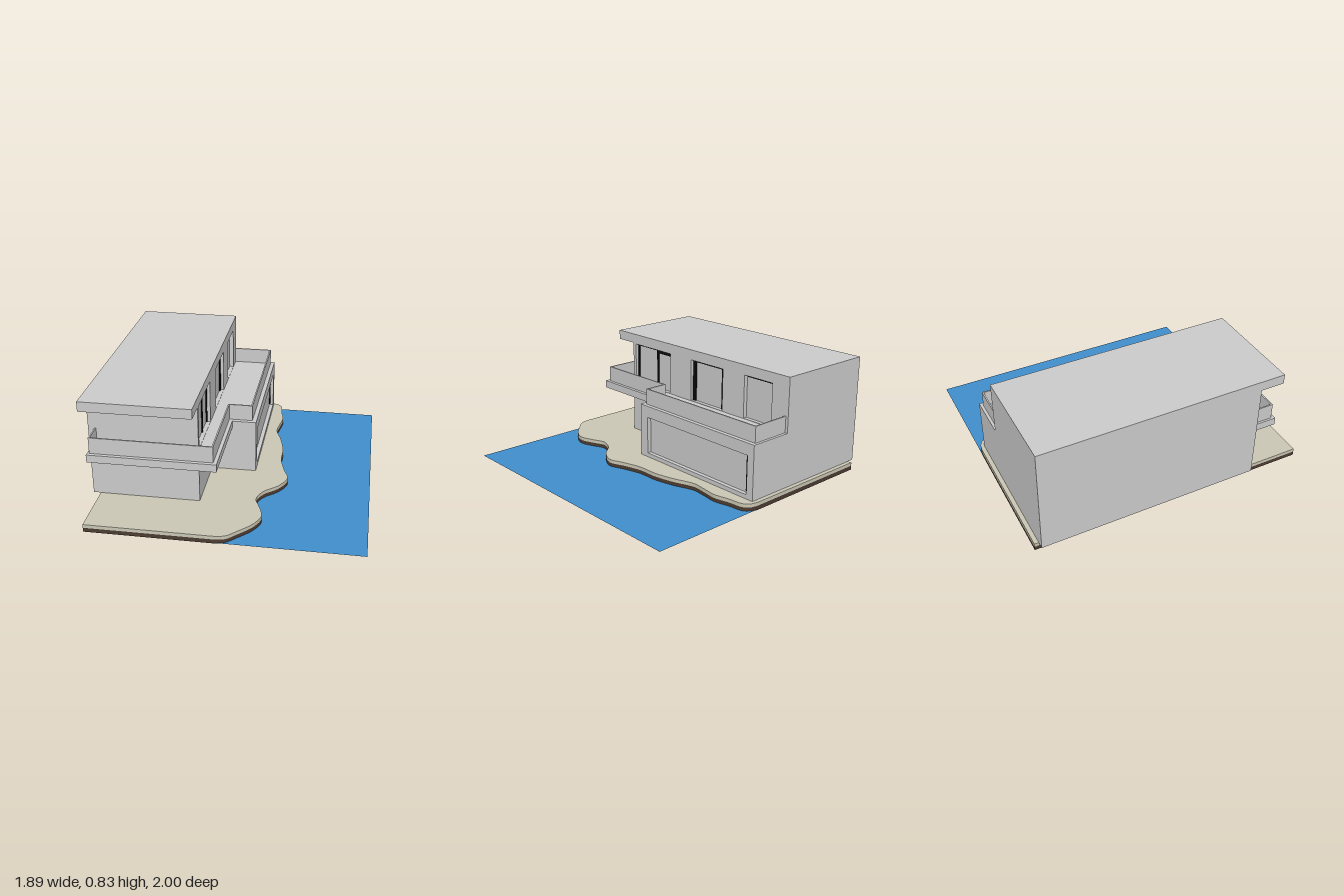
import * as THREE from 'three';

const mat = (name, color, side = THREE.FrontSide) => {
  const m = new THREE.MeshStandardMaterial({ color, side });
  m.name = name;
  return m;
};

export function createModel() {
  const group = new THREE.Group();
  const concrete = mat('concrete grey', 0xcbcbcb);
  const sand = mat('sand', 0xcac7b4);
  const soil = mat('soil brown', 0x4c3c31);
  const sea = mat('water blue', 0x408ecc, THREE.DoubleSide);
  const black = mat('frame black', 0x0c0c0c);

  const add = (name, geometry, material) => {
    const mesh = new THREE.Mesh(geometry, material);
    mesh.name = name;
    group.add(mesh);
    return mesh;
  };
  // Box given by its limits on each axis
  const block = (name, x0, x1, y0, y1, z0, z1, material = concrete) => {
    const g = new THREE.BoxGeometry(x1 - x0, y1 - y0, z1 - z0);
    g.translate((x0 + x1) / 2, (y0 + y1) / 2, (z0 + z1) / 2);
    return add(name, g, material);
  };
  // Wall facing +x with rectangular openings [z0, z1, y0, y1]
  const wall = (name, x0, x1, y0, y1, z0, z1, openings) => {
    const rect = (T, a0, a1, b0, b1) => {
      const p = new T();
      p.moveTo(-a1, b0);
      p.lineTo(-a0, b0);
      p.lineTo(-a0, b1);
      p.lineTo(-a1, b1);
      p.closePath();
      return p;
    };
    const shape = rect(THREE.Shape, z0, z1, y0, y1);
    for (const o of openings) shape.holes.push(rect(THREE.Path, ...o));
    const g = new THREE.ExtrudeGeometry(shape, { depth: x1 - x0, bevelEnabled: false });
    g.rotateY(Math.PI / 2);
    g.translate(x0, 0, 0);
    add(name, g, concrete);
  };

  // Shore: one wavy outline extruded as soil and as sand
  const coast = new THREE.CatmullRomCurve3([
    [-0.03, 1], [0.04, 0.985], [0.1, 0.93], [0.2, 0.82], [0.24, 0.72], [0.205, 0.6],
    [0.175, 0.52], [0.21, 0.42], [0.31, 0.32], [0.36, 0.21], [0.325, 0.1], [0.287, -0.05],
    [0.283, -0.2], [0.25, -0.36], [0.202, -0.51], [0.212, -0.62], [0.225, -0.73],
    [0.203, -0.84], [0.188, -0.95], [0.15, -0.988], [0.09, -1],
  ].map(([x, z]) => new THREE.Vector3(x, 0, z)));
  const land = new THREE.Shape([
    new THREE.Vector2(-0.9, -1),
    ...coast.getSpacedPoints(100).map((p) => new THREE.Vector2(p.x, THREE.MathUtils.clamp(-p.z, -1, 1))),
    new THREE.Vector2(-0.9, 1),
  ]);
  const layer = (name, y0, y1, material) => {
    const g = new THREE.ExtrudeGeometry(land, { depth: y1 - y0, bevelEnabled: false });
    g.rotateX(-Math.PI / 2);
    g.translate(0, y0, 0);
    add(name, g, material);
  };
  layer('soilLayer', 0, 0.03, soil);
  layer('sandLayer', 0.03, 0.055, sand);

  // Water sheet beside the shore
  const water = new THREE.PlaneGeometry(0.995, 2);
  water.rotateX(-Math.PI / 2);
  water.translate(0.4475, 0.004, 0);
  add('water', water, sea);

  // Main house and the ground-floor wing
  block('groundFloor', -0.95, -0.2, 0.055, 0.445, -0.97, 0.6);
  block('upperFloor', -0.95, -0.23, 0.445, 0.76, -0.97, 0.6);
  block('roof', -0.95, -0.2, 0.76, 0.83, -0.97, 0.77);
  block('wing', -0.2, 0.09, 0.055, 0.445, -0.97, 0.14);
  wall('upperWall', -0.23, -0.2, 0.445, 0.76, -0.97, 0.6, [
    [0.175, 0.57, 0.448, 0.755],
    [-0.37, -0.05, 0.448, 0.755],
    [-0.825, -0.575, 0.448, 0.757],
  ]);
  wall('wingWall', 0.09, 0.12, 0.055, 0.445, -0.97, 0.14, [[-0.915, 0.065, 0.085, 0.36]]);

  // Balcony slab wrapping the front corner
  block('balconySlabFront', -0.92, -0.05, 0.39, 0.445, 0.6, 0.77);
  block('balconySlabSide', -0.2, -0.05, 0.39, 0.445, 0.14, 0.6);

  // Thin parapets: each run is a pair of corners in plan
  const t = 0.01;
  const parapet = [
    [-0.905, 0.6, -0.905 + t, 0.745],
    [-0.905, 0.745 - t, -0.075, 0.745],
    [-0.075 - t, 0.11 - t, -0.075, 0.745],
    [-0.075, 0.11 - t, 0.09, 0.11],
    [0.09 - t, -0.95, 0.09, 0.11],
    [-0.2, -0.95, 0.09, -0.95 + t],
  ];
  for (const [x0, z0, x1, z1] of parapet) block('parapet', x0, x1, 0.445, 0.56, z0, z1);

  // Black window frames: [z0, z1, y0, y1]
  const frames = [
    [0.555, 0.57, 0.448, 0.755],
    [0.175, 0.57, 0.743, 0.755],
    [0.33, 0.347, 0.448, 0.755],
    [0.175, 0.347, 0.725, 0.755],
    [0.175, 0.19, 0.448, 0.755],
    [-0.08, -0.05, 0.448, 0.755],
    [-0.37, -0.05, 0.741, 0.755],
    [-0.37, -0.34, 0.448, 0.755],
    [-0.81, -0.585, 0.743, 0.757],
  ];
  for (const [z0, z1, y0, y1] of frames) block('windowFrame', -0.23, -0.222, y0, y1, z0, z1, black);
  block('wingWindowFrame', 0.09, 0.098, 0.1, 0.345, -0.913, -0.89, black);

  return group;
}
